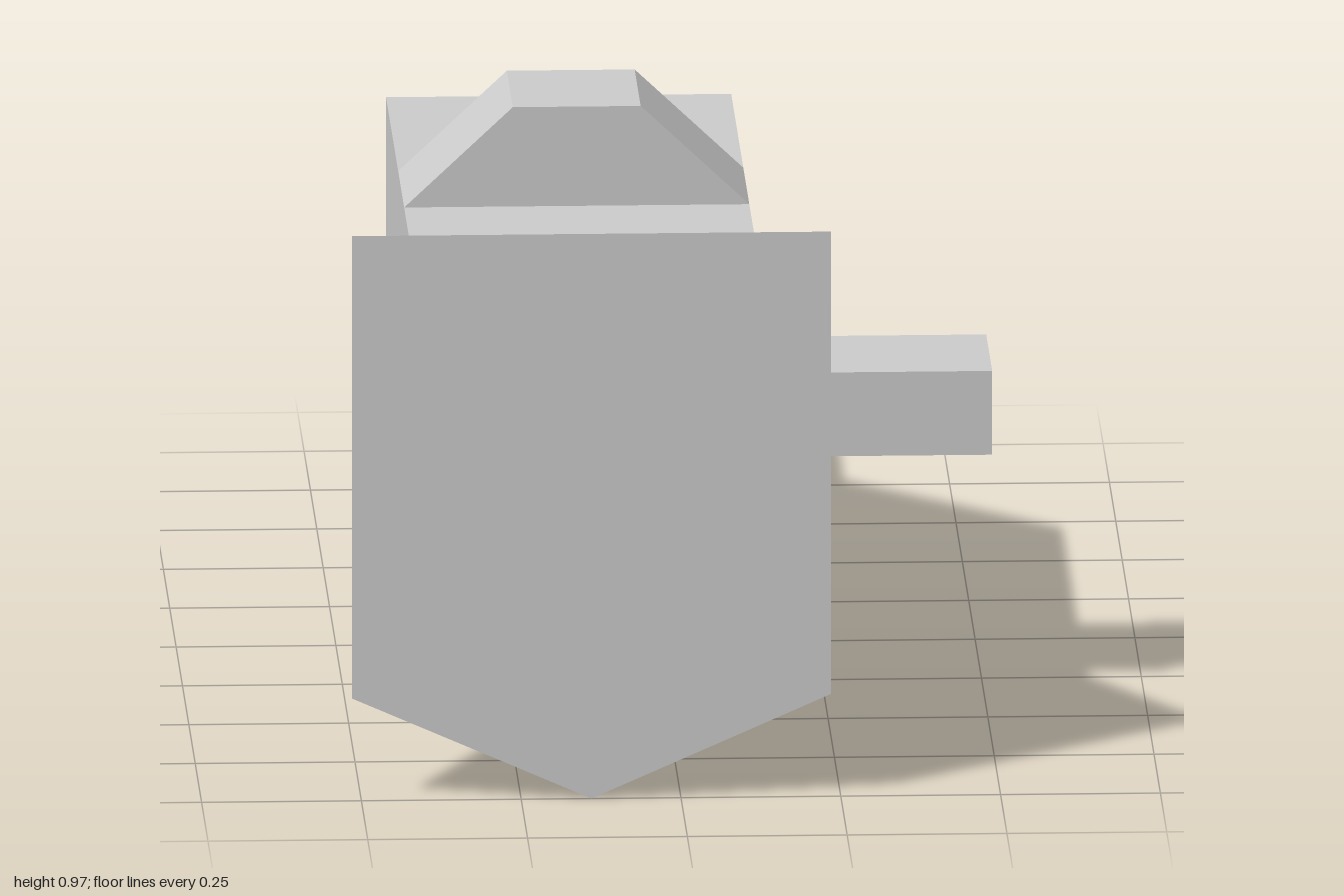
import * as THREE from 'three';

const material = new THREE.MeshStandardMaterial({ color: 0xcccccc, flatShading: true });
const CX = -0.14; // centre line of the body

function addMesh(group, name, geometry) {
  const mesh = new THREE.Mesh(geometry, material);
  mesh.name = name;
  group.add(mesh);
  return mesh;
}

// Five-sided section with a keel point, counter-clockwise seen from the front
function section(z, halfWidth, top, side, keel) {
  return [[-halfWidth, top], [-halfWidth, side], [0, keel], [halfWidth, side], [halfWidth, top]]
    .map(([x, y]) => new THREE.Vector3(CX + x, y, z));
}

// Skin a list of sections from front to back and cap both ends
function loft(sections) {
  const points = [];
  const n = sections[0].length;
  for (let s = 0; s < sections.length - 1; s++) {
    const a = sections[s], b = sections[s + 1];
    for (let i = 0; i < n; i++) {
      const j = (i + 1) % n;
      // diagonals mirrored about the keel
      if (i < 2) points.push(a[i], b[i], a[j], b[i], b[j], a[j]);
      else points.push(a[i], b[i], b[j], a[i], b[j], a[j]);
    }
  }
  const front = sections[0], back = sections[sections.length - 1];
  for (let i = 1; i < n - 1; i++) {
    points.push(front[0], front[i], front[i + 1], back[0], back[i + 1], back[i]);
  }
  const geometry = new THREE.BufferGeometry().setFromPoints(points);
  geometry.computeVertexNormals();
  return geometry;
}

export function createModel() {
  const group = new THREE.Group();
  group.name = 'model';

  // Flared front, straight middle and tapered rear
  addMesh(group, 'body', loft([
    section(1, 0.375, 0.91, 0.165, 0),
    section(0.66, 0.27, 0.81, 0.27, 0.11),
    section(-0.29, 0.27, 0.81, 0.27, 0.11),
    section(-0.72, 0.08, 0.6, 0.48, 0.48),
  ]));

  // Square stem at the rear
  addMesh(group, 'rearStem', new THREE.BoxGeometry(0.16, 0.12, 0.28))
    .position.set(CX, 0.54, -0.86);

  // Sloped block across the top
  const profile = new THREE.Shape([[-0.27, 0.81], [0.27, 0.81], [0.1, 0.97], [-0.1, 0.97]]
    .map(([x, y]) => new THREE.Vector2(x, y)));
  addMesh(group, 'topBlock', new THREE.ExtrudeGeometry(profile, { depth: 0.235, bevelEnabled: false }))
    .position.set(CX, 0, 0.185);

  // Single arm on the left side
  addMesh(group, 'sideArm', new THREE.BoxGeometry(0.38, 0.135, 0.235))
    .position.set(0.32, 0.47, 0.3025);

  return group;
}
